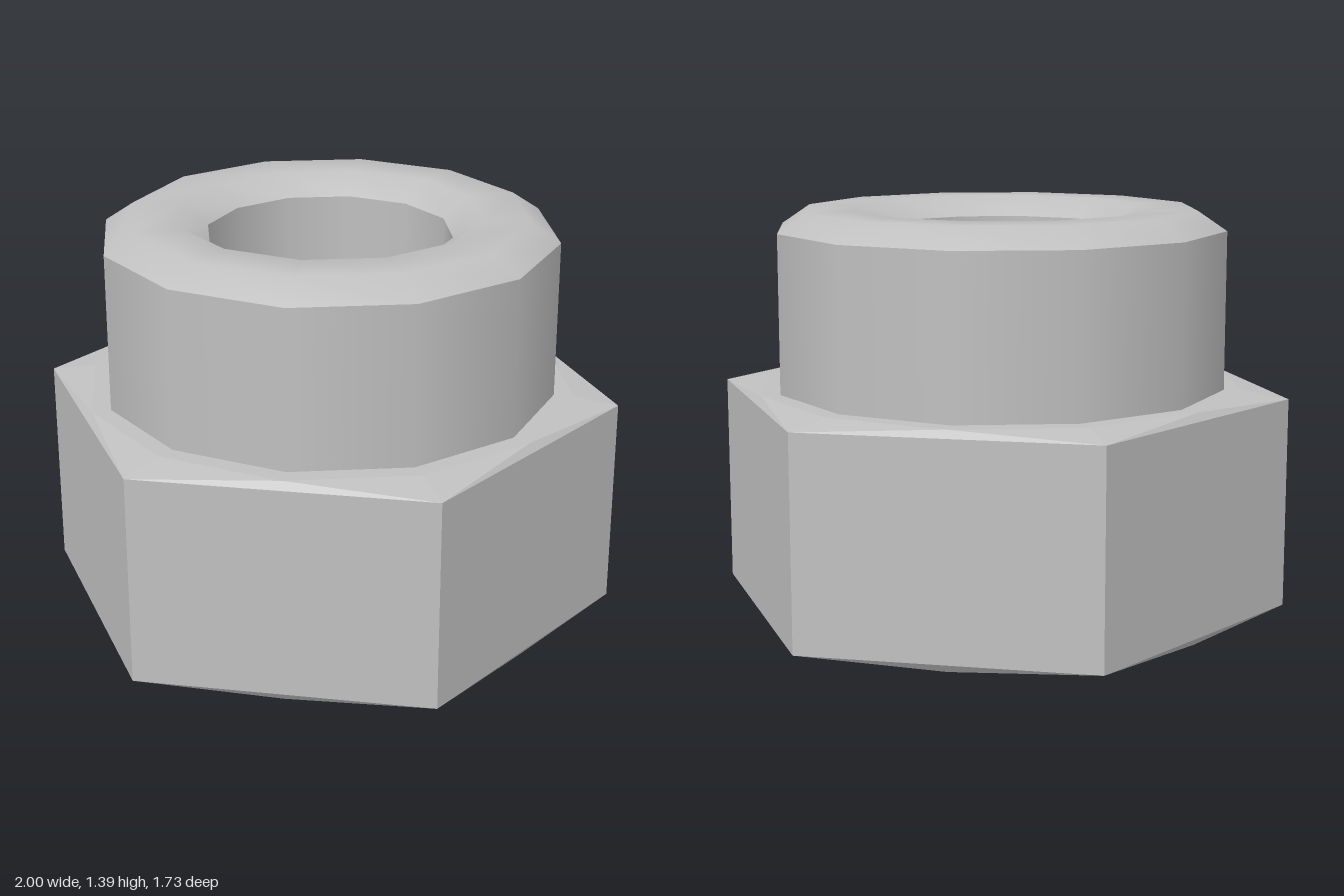
import * as THREE from 'three';

const SIDES = 12;
const BORE = 0.42, COLLAR = 0.78, FACE = 0.845;
const HEX_LOW = 0.028, HEX_HIGH = 0.753, HEX_TOP = 0.778, RIM = 1.32, TOP = 1.387;

export function createModel() {
  const group = new THREE.Group();
  const steel = new THREE.MeshStandardMaterial({ color: 0xc0c0c0 });
  steel.name = 'steel grey';

  const add = (name, geometry) => {
    const mesh = new THREE.Mesh(geometry, steel);
    mesh.name = name;
    group.add(mesh);
  };
  const turned = (name, profile) =>
    add(name, new THREE.LatheGeometry(profile.map(([r, y]) => new THREE.Vector2(r, y)), SIDES));

  // Turned surfaces, each smooth around and sharp where parts meet
  turned('bottomFace', [[BORE, 0], [FACE, 0]]);
  turned('shoulderFace', [[FACE, HEX_TOP], [COLLAR, HEX_TOP]]);
  turned('collarWall', [[COLLAR, HEX_TOP], [COLLAR, RIM]]);
  turned('collarRim', [[COLLAR, RIM], [0.68, TOP], [0.52, TOP], [BORE, RIM]]);
  turned('bore', [[BORE, RIM], [BORE, 0]]);

  // Hexagonal body with flat sides, corners on the x axis
  const point = (radius, degrees, y) => {
    const a = THREE.MathUtils.degToRad(degrees);
    return [radius * Math.cos(a), y, radius * Math.sin(a)];
  };
  const facets = (triangles) => {
    const geometry = new THREE.BufferGeometry();
    geometry.setAttribute('position', new THREE.Float32BufferAttribute(triangles.flat(2), 3));
    geometry.computeVertexNormals();
    return geometry;
  };
  const sides = [];
  for (let d = 0; d < 360; d += 60) {
    const a = point(1, d, HEX_LOW), b = point(1, d + 60, HEX_LOW);
    const c = point(1, d + 60, HEX_HIGH), e = point(1, d, HEX_HIGH);
    sides.push([a, c, b], [a, e, c]);
  }
  add('hexSides', facets(sides));

  // Shallow chamfers joining the hexagon to the twelve-sided faces
  const chamfer = (hexY, faceY, flip) => {
    const triangles = [];
    for (let d = 0; d < 360; d += 60) {
      const corner = point(1, d, hexY), next = point(1, d + 60, hexY);
      const before = point(FACE, d - 30, faceY);
      const middle = point(FACE, d, faceY);
      const after = point(FACE, d + 30, faceY);
      triangles.push([corner, before, middle], [corner, middle, after], [corner, after, next]);
    }
    return facets(flip ? triangles.map(([a, b, c]) => [a, c, b]) : triangles);
  };
  add('topChamfer', chamfer(HEX_HIGH, HEX_TOP, false));
  add('bottomChamfer', chamfer(HEX_LOW, 0, true));

  return group;
}
